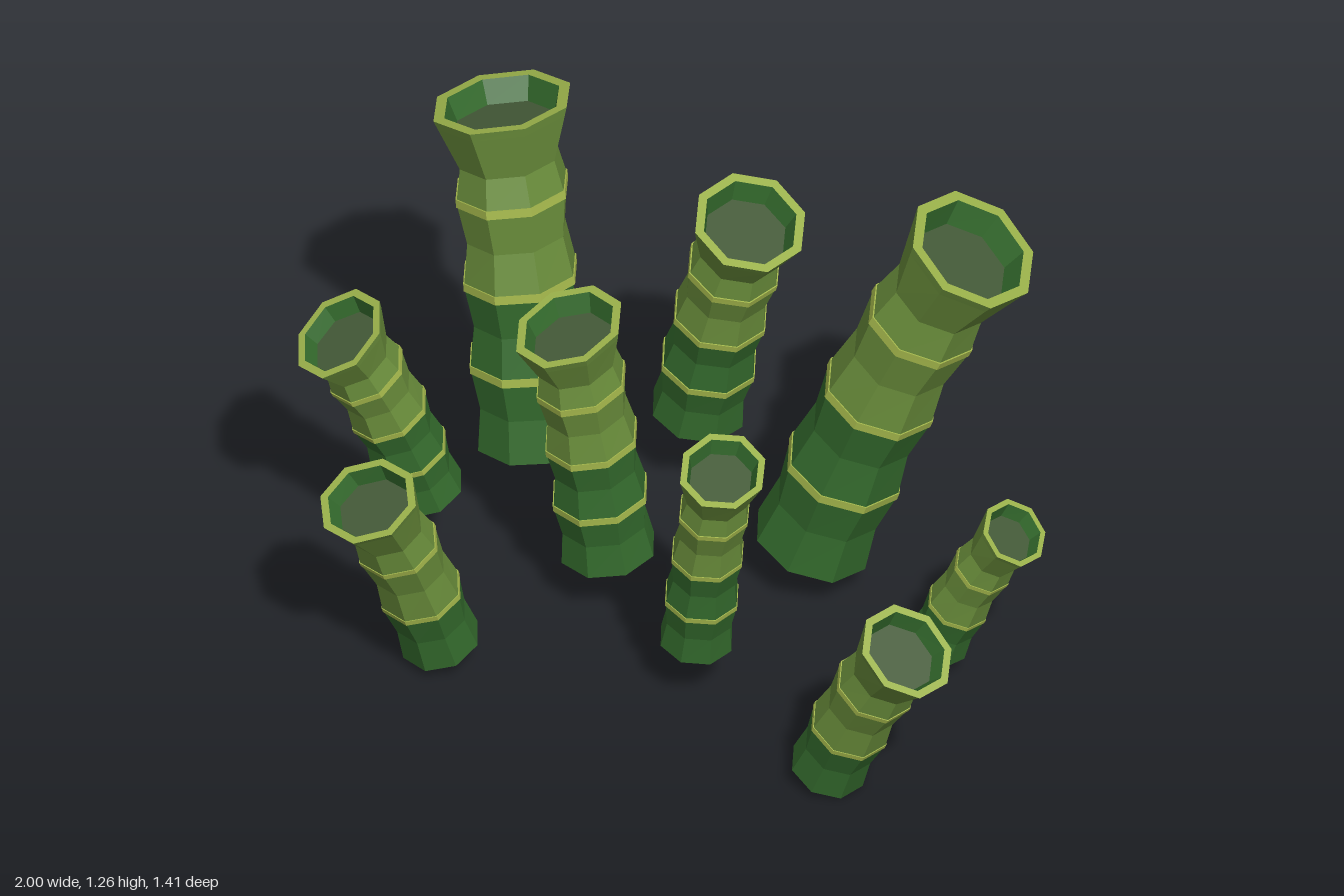
import * as THREE from 'three';

const SIDES = 8;

const flat = (name, color) => {
  const m = new THREE.MeshStandardMaterial({ color, flatShading: true });
  m.name = name;
  return m;
};

// base centre, top centre, body radius, oval of the mouth (x, z), segments, dark segments
const STALKS = [
  { base: [-0.53, 0.25, -0.29], top: [-0.672, 1.222, -0.41], r: 0.155, mouth: [0.96, 1.05], segs: 4, dark: 2 },
  { base: [0.25, 0.14, -0.31], top: [0.677, 1.175, -0.38], r: 0.16, mouth: [0.91, 1.04], segs: 4, dark: 2 },
  { base: [-0.187, 0.25, -0.575], top: [-0.007, 0.967, -0.5], r: 0.128, mouth: [0.95, 1.04], segs: 4, dark: 2 },
  { base: [-0.202, 0.18, -0.02], top: [-0.285, 0.925, 0.044], r: 0.13, mouth: [0.88, 1.02], segs: 4, dark: 2 },
  { base: [-0.71, 0.23, 0.0], top: [-0.88, 0.81, 0.172], r: 0.105, mouth: [0.97, 1.08], segs: 4, dark: 2 },
  { base: [-0.505, 0.065, 0.375], top: [-0.615, 0.64, 0.593], r: 0.108, mouth: [1.06, 0.94], segs: 3, dark: 1 },
  { base: [0.162, 0.18, 0.24], top: [0.275, 0.825, 0.328], r: 0.1, mouth: [0.91, 1.06], segs: 4, dark: 2 },
  { base: [0.625, 0.048, 0.445], top: [0.892, 0.578, 0.546], r: 0.104, mouth: [1.04, 1.0], segs: 3, dark: 1 },
  { base: [0.7, 0.1, -0.09], top: [0.92, 0.525, -0.09], r: 0.085, mouth: [0.88, 1.06], segs: 3, dark: 1 },
];

// Stalk axis: nearly straight, leaning more toward the top, with a slightly oval mouth
function axisOf({ base, top, mouth }) {
  const a = new THREE.Vector3(...base);
  const d = new THREE.Vector3(...top).sub(a);
  const K = 0.8;
  return (t) => {
    const s = K * t + (1 - K) * t ** 3;
    const ds = K + 3 * (1 - K) * t * t;
    const tangent = new THREE.Vector3(d.x * ds, d.y, d.z * ds).normalize();
    return {
      centre: new THREE.Vector3(a.x + d.x * s, a.y + d.y * t, a.z + d.z * s),
      turn: new THREE.Quaternion().setFromUnitVectors(new THREE.Vector3(0, 1, 0), tangent),
      oval: mouth.map((m) => THREE.MathUtils.lerp(1.03, m, t)),
    };
  };
}

// Skin a list of [t, radius] rings set square to the axis
function loft(axis, rings) {
  const pos = [], index = [];
  rings.forEach(([t, r]) => {
    const { centre, turn, oval } = axis(t);
    for (let i = 0; i < SIDES; i++) {
      const a = (i / SIDES) * Math.PI * 2;
      const p = new THREE.Vector3(Math.sin(a) * r * oval[0], 0, Math.cos(a) * r * oval[1]);
      p.applyQuaternion(turn).add(centre);
      pos.push(p.x, p.y, p.z);
    }
  });
  for (let j = 0; j < rings.length - 1; j++) {
    for (let i = 0; i < SIDES; i++) {
      const n = (i + 1) % SIDES;
      const a = j * SIDES + i, b = j * SIDES + n, c = a + SIDES, d = b + SIDES;
      if (rings[j][1] > 0) index.push(a, b, d);
      if (rings[j + 1][1] > 0) index.push(a, d, c);
    }
  }
  const g = new THREE.BufferGeometry();
  g.setAttribute('position', new THREE.Float32BufferAttribute(pos, 3));
  g.setIndex(index);
  const out = g.toNonIndexed();
  out.computeVertexNormals();
  return out;
}

export function createModel() {
  const lower = flat('dark green', 0x33692c);
  const upper = flat('olive green', 0x688b3a);
  const rimMat = flat('lime rim', 0x9bb24b);
  const bandMat = flat('yellow green band', 0xa3b64b);
  const floorMat = flat('dull green floor', 0x445a38);

  const model = new THREE.Group();
  model.name = 'bambooCluster';

  STALKS.forEach((spec, k) => {
    const { r, segs, dark } = spec;
    const axis = axisOf(spec);
    const length = new THREE.Vector3(...spec.top).distanceTo(new THREE.Vector3(...spec.base));
    const stalk = new THREE.Group();
    stalk.name = `stalk${k + 1}`;
    const add = (name, rings, material) => {
      const mesh = new THREE.Mesh(loft(axis, rings), material);
      mesh.name = name;
      stalk.add(mesh);
    };

    // Joints bulge, the middle of each segment is pinched
    const lowRings = [[0, 0], [0, r * 0.97]];
    const highRings = [[dark / segs, r]];
    for (let s = 0; s < segs - 1; s++) {
      const rings = s < dark ? lowRings : highRings;
      rings.push([(s + 0.5) / segs, r * 0.88], [(s + 1) / segs, r]);
    }
    // Flared mouth with a short lip
    const lip = (0.16 * r) / length;
    highRings.push([1 - 0.62 / segs, r * 0.88], [1 - lip, r * 1.19], [1, r * 1.25]);
    add('lowerStalk', lowRings, lower);
    add('upperStalk', highRings, upper);

    // Rim ring, inner wall and floor of the hollow
    const deep = 1 - (0.42 * r) / length;
    add('rim', [[1, r * 1.25], [1, r * 1.05]], rimMat);
    add('innerWall', [[1, r * 1.05], [deep, r * 0.91]], lower);
    add('hollowFloor', [[deep, r * 0.91], [deep, 0]], floorMat);

    // Thin joint bands
    const half = (0.075 * r) / length;
    for (let s = 1; s < segs; s++) {
      const t = s / segs;
      add('jointBand', [
        [t - half, r * 0.97], [t - half, r * 1.012], [t + half, r * 1.012], [t + half, r * 0.97],
      ], bandMat);
    }
    model.add(stalk);
  });

  return model;
}
